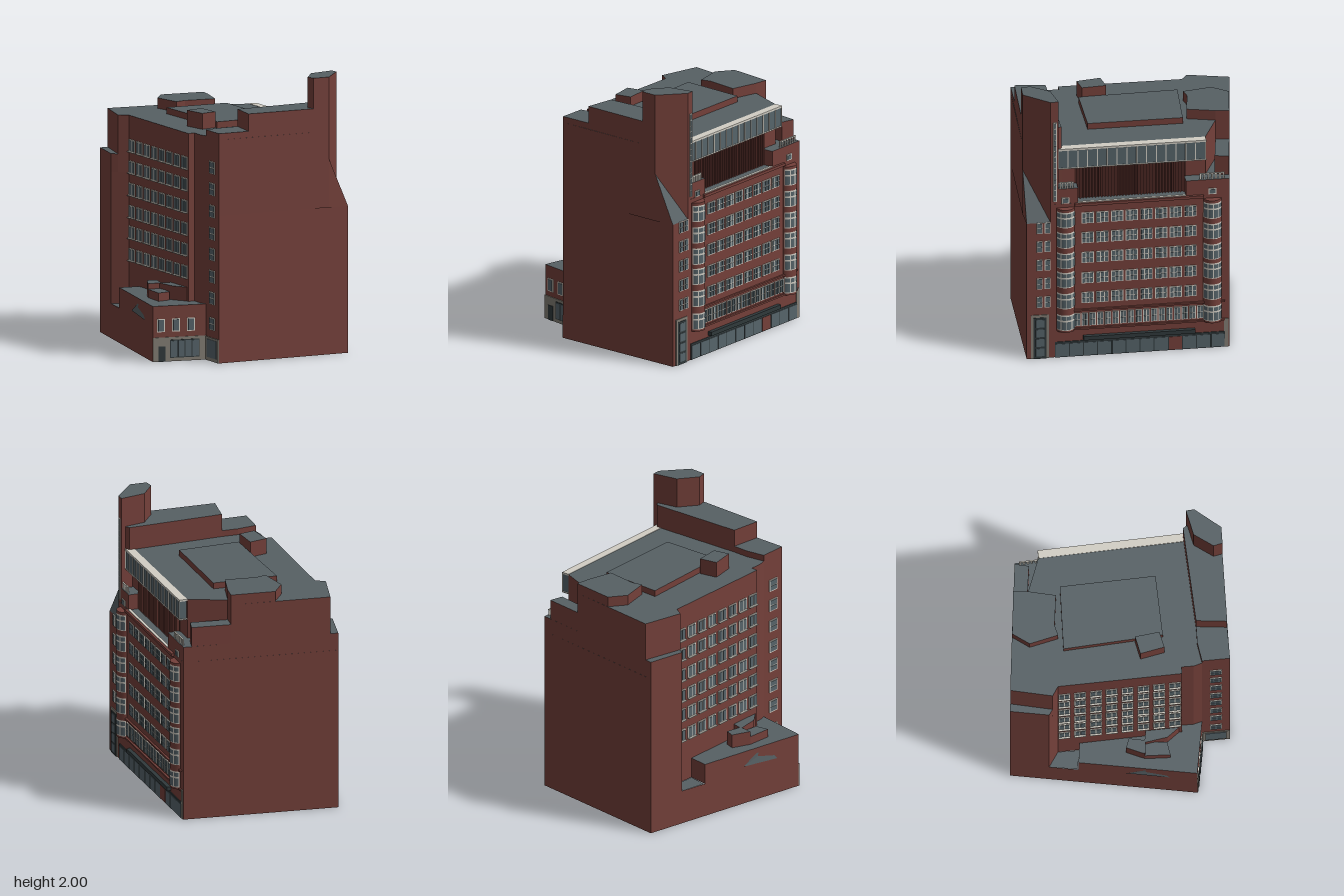
import * as THREE from 'three';

const mat = (name, color, side = THREE.FrontSide) => {
  const m = new THREE.MeshStandardMaterial({ color, side });
  m.name = name;
  return m;
};
const brick = mat('brick', 0x74403a, THREE.DoubleSide);
const darkBrick = mat('dark brick', 0x4a2722);
const roofGrey = mat('roof grey', 0x566064, THREE.DoubleSide);
const glass = mat('glass', 0x56646a, THREE.DoubleSide);
const white = mat('white frame', 0xd2cec4, THREE.DoubleSide);
const stone = mat('stone', 0x827d74);
const dark = mat('dark metal', 0x30393b);

// Plan corners
const A = [0.04, -0.885], B = [0.94, 0.26], C = [0.11, 0.86];
const D = [-0.01, 0.7], E = [-0.364, 0.874], F = [-0.94, -0.333];
const cutA = [0.82, 0.36], cutB = [0.835, 0.125];
const yardWall = [-0.69, -0.085], wallEnd = [-0.15, 0.62];
const recess = [wallEnd, [-0.11, 0.59], [-0.06, 0.66]];

// Point on the street front at depth z, moved inwards by inset
function street(z, inset = 0) {
  const u = (z + 0.885) / 0.787;
  return [0.04 + 0.617 * u - 0.787 * inset, z + 0.617 * inset];
}
const along = (z) => (0.26 - z) / 0.787;

export function createModel() {
  const model = new THREE.Group();
  model.name = 'building';

  function faces(name, tris, material) {
    const g = new THREE.BufferGeometry();
    g.setAttribute('position', new THREE.Float32BufferAttribute(tris.flat(), 3));
    g.computeVertexNormals();
    const m = new THREE.Mesh(g, material);
    m.name = name;
    model.add(m);
  }

  function roof(name, pts, y) {
    const s = new THREE.Shape(pts.map(([x, z]) => new THREE.Vector2(x, -z)));
    const m = new THREE.Mesh(new THREE.ShapeGeometry(s).rotateX(-Math.PI / 2), roofGrey);
    m.position.y = y;
    m.name = name;
    model.add(m);
  }

  // Walls on a plan outline, open below, with a flat roof
  function block(name, pts, y0, y1, hasRoof = true) {
    const p = THREE.ShapeUtils.area(pts.map(([x, z]) => new THREE.Vector2(x, -z))) < 0 ? [...pts].reverse() : pts;
    const t = [];
    p.forEach(([x, z], i) => {
      const [a, b] = p[(i + 1) % p.length];
      t.push([x, y0, z], [a, y0, b], [a, y1, b], [x, y0, z], [a, y1, b], [x, y1, z]);
    });
    faces(name + 'Walls', t, brick);
    if (hasRoof) roof(name + 'Roof', pts, y1);
  }

  // Group on a wall: x runs from p to q, z points outwards
  function wall(name, p, q) {
    const g = new THREE.Group();
    g.name = name;
    g.position.set(p[0], 0, p[1]);
    g.rotation.y = Math.atan2(p[1] - q[1], q[0] - p[0]);
    model.add(g);
    return g;
  }

  function plate(g, name, material, x, y, w, h, d = 0.006, z = d / 2) {
    const m = new THREE.Mesh(new THREE.BoxGeometry(w, h, d), material);
    m.position.set(x, y, z);
    m.name = name;
    g.add(m);
  }

  function windowAt(g, x, y, w, h, cols = 2, rows = 1, z = 0, bar = 0.007, frame = white) {
    plate(g, 'windowFrame', frame, x, y, w, h, 0.006, z + 0.003);
    const pw = (w - bar) / cols, ph = (h - bar) / rows;
    for (let i = 0; i < cols; i++) for (let j = 0; j < rows; j++)
      plate(g, 'windowPane', glass, x + (i + 0.5 - cols / 2) * pw, y + (j + 0.5 - rows / 2) * ph,
        pw - bar, ph - bar, 0.003, z + 0.0075);
  }

  // Main masses, from the ground up
  block('base', [A, B, C, D, E, F], 0, 0.25, false);
  roof('yardRoof', [[-0.82, -0.08], yardWall, [-0.6, 0.04], [-0.73, 0.1]], 0.25);
  block('annex', [[-0.73, 0.11], [-0.6, 0.04], wallEnd, ...recess.slice(1), D, E], 0.25, 0.4);
  block('body', [A, B, C, D, ...[...recess].reverse(), yardWall, [-0.82, -0.08], F], 0.25, 1.06, false);
  block('upperBody', [A, cutB, cutA, C, D, ...[...recess].reverse(), yardWall, [-0.82, -0.08], F], 1.06, 1.2);
  block('sideStep', [F, [-0.89, -0.36], [-0.77, -0.08], [-0.82, -0.08]], 1.2, 1.33);
  block('main', [street(-0.76, 0.09), street(0.05, 0.09), [0.78, 0.2], cutA, C, D, ...[...recess].reverse(),
    yardWall, [-0.77, -0.08], [-0.89, -0.36], [-0.26, -0.715], [-0.21, -0.63]], 1.2, 1.61);
  block('cornerStep', [[-0.26, -0.715], [-0.21, -0.63], [0.03, -0.76], [-0.01, -0.855]], 1.2, 1.46);
  block('rightWing', [A, street(-0.64), street(-0.64, 0.1), [-0.2, -0.62], [-0.26, -0.715]], 1.2, 1.315);
  block('leftWing', [street(0.08), street(-0.03), street(-0.03, 0.1), street(0.08, 0.1)], 1.2, 1.315);
  block('stairTower', [[0.72, 0.43], cutA, cutB, street(0.08), [0.67, 0.22], [0.67, 0.385]], 1.06, 2);
  block('rearStep', [[0.3, 0.722], [0.19, 0.53], [0.74, 0.09], cutB, cutA], 1.6, 1.78);
  block('cornerRoof', [D, C, [0.3, 0.722], [0.19, 0.53], [0.09, 0.6]], 1.6, 1.655);

  // Rooftop structures
  block('roofDeck', [[-0.44, -0.19], [-0.05, -0.455], [0.37, 0.085], [0.015, 0.36]], 1.61, 1.655);
  block('plantRoom', [[-0.54, -0.555], [-0.54, -0.41], [-0.38, -0.27], [-0.33, -0.33], [-0.13, -0.44],
    [-0.21, -0.63], [-0.26, -0.715]], 1.61, 1.685);
  block('roofHut', [[-0.21, 0.31], [-0.12, 0.21], [0, 0.34], [-0.08, 0.43]], 1.61, 1.725);

  // Sloped shoulder beside the stair tower
  const sB = [B[0], 1.06, B[1]], sA = [cutA[0], 1.41, cutA[1]], sC = [cutB[0], 1.06, cutB[1]];
  faces('shoulderSlope', [sB, sC, sA], roofGrey);
  faces('shoulderSide', [[cutA[0], 1.06, cutA[1]], sB, sA], brick);

  // Annex roof steps and the sloping light on its side
  block('annexStepA', [[-0.49, 0.36], [-0.42, 0.34], [-0.37, 0.45], [-0.46, 0.5]], 0.4, 0.5);
  block('annexStepB', [[-0.46, 0.5], [-0.37, 0.45], [-0.29, 0.58], [-0.36, 0.65]], 0.4, 0.46);
  block('annexStepC', [[-0.39, 0.45], [-0.3, 0.41], [-0.14, 0.61], [-0.27, 0.57]], 0.4, 0.5);
  faces('sideLight', [[-0.59, 0.29, 0.42], [-0.45, 0.27, 0.7], [-0.48, 0.36, 0.62],
    [-0.59, 0.29, 0.42], [-0.48, 0.36, 0.62], [-0.53, 0.36, 0.53]], roofGrey);

  // Yard wall windows
  const rows = [0.61, 0.77, 0.92, 1.08, 1.24, 1.395];
  const yard = wall('yardWindows', yardWall, wallEnd);
  for (const y of rows) for (let i = 0; i < 8; i++) {
    windowAt(yard, 0.045 + i * 0.113, y, 0.085, 0.09, 2, 1, 0, 0.008);
    plate(yard, 'windowSill', white, 0.045 + i * 0.113, y - 0.045, 0.085, 0.006, 0.02);
  }

  // Narrow wall windows and shop corner
  const narrow = wall('narrowWall', D, C);
  for (const y of [0.27, 0.455, ...rows]) windowAt(narrow, 0.1, y, 0.085, 0.09, 1, 2);
  plate(narrow, 'shopSurround', stone, 0.1, 0.085, 0.2, 0.17);
  plate(narrow, 'shopWindow', glass, 0.1, 0.09, 0.15, 0.13, 0.004, 0.008);

  // Annex front
  const front = wall('annexFront', E, D);
  plate(front, 'shopSurround', stone, 0.197, 0.087, 0.394, 0.174);
  plate(front, 'door', dark, 0.065, 0.055, 0.05, 0.11, 0.004, 0.008);
  windowAt(front, 0.235, 0.09, 0.22, 0.13, 4, 1, 0.004, 0.007, dark);
  for (const x of [-0.31, -0.21, -0.11]) windowAt(front, (x + 0.364) * 1.113, 0.26, 0.058, 0.095, 1, 1);

  // Street front: shopfront, canopy and ledges
  const st = wall('streetFront', B, A);
  const span = (name, m, z0, z1, y, h, d, z) =>
    plate(st, name, m, (along(z0) + along(z1)) / 2, y, along(z1) - along(z0), h, d, z);
  span('shopfront', dark, 0.1, -0.86, 0.06, 0.12);
  for (let i = 0; i < 12; i++)
    if (i !== 8) plate(st, 'shopPane', glass, along(0.06 - i * 0.08), 0.055, 0.094, 0.1, 0.003, 0.008);
  plate(st, 'shopDoor', brick, along(-0.58), 0.055, 0.094, 0.1, 0.003, 0.008);
  span('canopy', dark, -0.06, -0.69, 0.145, 0.03, 0.03);
  span('cornerStrip', stone, -0.855, -0.88, 0.11, 0.22);
  span('lowerLedge', brick, 0.08, -0.86, 0.215, 0.012, 0.015);
  span('upperLedge', brick, 0.08, -0.86, 0.36, 0.012, 0.015);
  span('terraceLedge', brick, -0.01, -0.74, 1.19, 0.02, 0.02);
  span('terraceCoping', white, -0.03, -0.64, 1.203, 0.005, 0.02, -0.006);

  // Street front windows
  for (let i = 0; i < 17; i++) windowAt(st, along(-0.025 - i * 0.0435), 0.285, 0.046, 0.1, 2, 2, 0, 0.005);
  for (const y of [0.455, 0.61, 0.77, 0.925, 1.08])
    for (let i = 0; i < 8; i++) windowAt(st, along(-0.085 - i * 0.083), y, 0.088, 0.085, 3, 2, 0, 0.006);

  // Stair windows and door
  for (const y of [0.44, 0.585, 0.73, 0.875, 1.02])
    for (const z of [0.187, 0.143]) windowAt(st, along(z), y, 0.042, 0.085, 1, 2, 0, 0.005);
  span('entranceSurround', stone, 0.235, 0.135, 0.17, 0.34);
  span('entranceDoor', dark, 0.222, 0.148, 0.16, 0.32, 0.004, 0.008);
  for (let j = 0; j < 4; j++) span('entrancePane', glass, 0.21, 0.16, 0.05 + j * 0.075, 0.06, 0.003, 0.011);
  windowAt(st, along(0.1), 1.53, 0.026, 0.62, 1, 14, 0, 0.006);

  // Rounded bays with curved windows
  const arc = (g, name, m, r, h, y, t0, t1) => {
    const c = new THREE.Mesh(new THREE.CylinderGeometry(r, r, h, 6, 1, true, t0, t1 - t0), m);
    c.position.y = y;
    c.name = name;
    g.add(c);
  };
  for (const z of [0.04, -0.79]) {
    const bay = new THREE.Group();
    bay.name = 'bay';
    bay.position.set(along(z), 0, -0.015);
    st.add(bay);
    const body = new THREE.Mesh(new THREE.CylinderGeometry(0.067, 0.067, 0.96, 28), brick);
    body.position.y = 0.69;
    body.name = 'bayWall';
    bay.add(body);
    for (const y of [0.285, 0.455, 0.62, 0.77, 0.93, 1.09]) {
      arc(bay, 'bayFrame', white, 0.069, 0.12, y, -1.2, 1.2);
      for (let i = 0; i < 4; i++) {
        const t = -1.15 + i * 0.58;
        arc(bay, 'bayPane', glass, 0.071, 0.062, y - 0.022, t + 0.04, t + 0.52);
        arc(bay, 'bayPane', glass, 0.071, 0.03, y + 0.036, t + 0.04, t + 0.52);
      }
    }
    windowAt(st, along(z), 1.225, 0.055, 0.045, 1, 1);
    // Balustrade above the bay
    const half = z > 0 ? 0.06 : 0.09;
    plate(st, 'balustradeRail', white, along(z), 1.358, half * 2, 0.008, 0.01, -0.012);
    for (let i = 0; i < 7; i++)
      plate(st, 'baluster', white, along(z) + (i / 3 - 1) * (half - 0.006), 1.335, 0.012, 0.045, 0.008, -0.012);
  }

  // Recessed top floor with brick fins
  span('finBack', darkBrick, -0.02, -0.65, 1.33, 0.26, 0.006, -0.087);
  for (let i = 0; i < 36; i++)
    plate(st, 'fin', brick, along(-0.035 - i * 0.0172), 1.33, 0.009, 0.26, 0.014, -0.078);

  // Projecting glazed band under a pale roof edge
  span('glazedBand', glass, 0.08, -0.755, 1.53, 0.135, 0.055, -0.06);
  span('bandTop', white, 0.085, -0.76, 1.605, 0.014, 0.06, -0.06);
  span('bandSill', white, 0.085, -0.76, 1.46, 0.008, 0.06, -0.06);
  for (let i = 0; i <= 15; i++)
    plate(st, 'mullion', white, along(0.078 - i * 0.0555), 1.53, 0.007, 0.135, 0.006, -0.03);

  return model;
}
